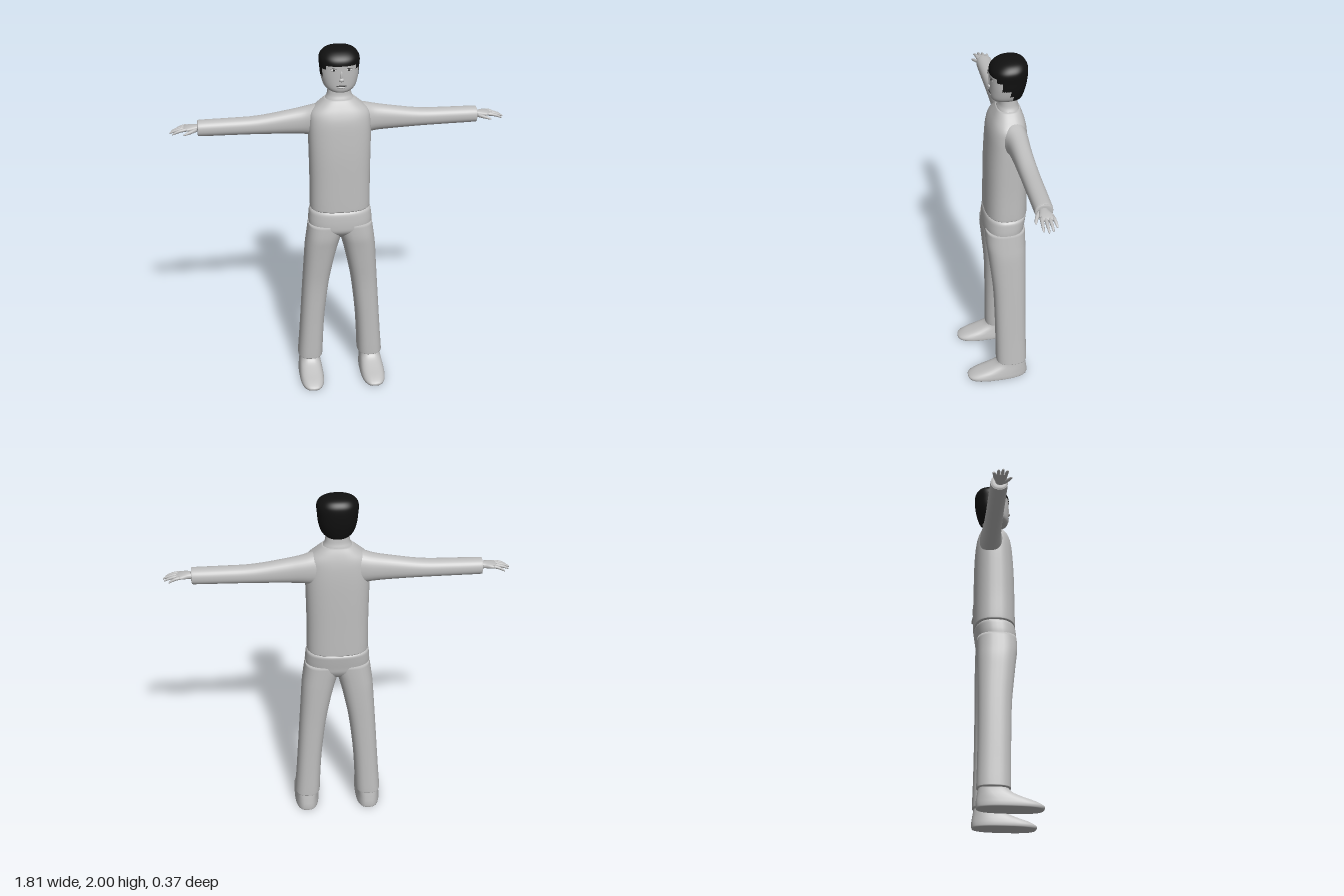
import * as THREE from 'three';

const grey = new THREE.MeshStandardMaterial({ color: 0xbfbfbf });
grey.name = 'plainGrey';
const black = new THREE.MeshStandardMaterial({ color: 0x111111 });
black.name = 'hairBlack';
const white = new THREE.MeshStandardMaterial({ color: 0xd8d8d8 });
white.name = 'eyeWhite';
const dark = new THREE.MeshStandardMaterial({ color: 0x3a3a3a });
dark.name = 'lipDark';

// Smooth interpolation between sections
function spline(a, b, c, d, f) {
  return 0.5 * (2 * b + (c - a) * f + (2 * a - 5 * b + 4 * c - d) * f * f + (3 * b - a - 3 * c + d) * f * f * f);
}

// Closed skin over sections [t, uMin, uMax, vMin, vMax].
// axis 'y': t = y, u = x, v = z.  axis 'x': t = x, u = z, v = y.
function loft(sections, { axis = 'y', seg = 32, sub = 4, power = 2.3 } = {}) {
  const rows = [];
  const last = sections.length - 1;
  for (let i = 0; i < last; i++) {
    const [a, b, c, d] = [Math.max(i - 1, 0), i, i + 1, Math.min(i + 2, last)].map(k => sections[k]);
    for (let k = 0; k < sub; k++) rows.push(b.map((_, n) => spline(a[n], b[n], c[n], d[n], k / sub)));
  }
  rows.push(sections[last]);
  const pos = [], index = [];
  const put = (t, u, v) => (axis === 'y' ? pos.push(u, t, v) : pos.push(t, v, u));
  const round = s => Math.sign(s) * Math.abs(s) ** (2 / power);
  for (const [t, u0, u1, v0, v1] of rows) {
    for (let j = 0; j < seg; j++) {
      const a = (j / seg) * Math.PI * 2;
      put(t, (u0 + u1) / 2 + (u1 - u0) / 2 * round(Math.cos(a)), (v0 + v1) / 2 + (v1 - v0) / 2 * round(Math.sin(a)));
    }
  }
  const n = rows.length;
  for (const [t, u0, u1, v0, v1] of [rows[0], rows[n - 1]]) put(t, (u0 + u1) / 2, (v0 + v1) / 2);
  for (let j = 0; j < seg; j++) {
    const k = (j + 1) % seg;
    for (let i = 0; i < n - 1; i++) {
      const A = i * seg + j, B = i * seg + k;
      index.push(A, A + seg, B, B, A + seg, B + seg);
    }
    index.push(n * seg, j, k, n * seg + 1, (n - 1) * seg + k, (n - 1) * seg + j);
  }
  const geo = new THREE.BufferGeometry();
  geo.setAttribute('position', new THREE.Float32BufferAttribute(pos, 3));
  geo.setIndex(index);
  geo.computeVertexNormals();
  return geo;
}

// Mirrored copy across x = 0 with the winding put right
function mirror(geo) {
  const g = geo.clone().scale(-1, 1, 1);
  const ix = g.index.array;
  for (let i = 0; i < ix.length; i += 3) [ix[i], ix[i + 1]] = [ix[i + 1], ix[i]];
  g.computeVertexNormals();
  return g;
}

// Split the head's faces into skin (group 0) and hair (group 1)
function splitHair(geo) {
  const p = geo.attributes.position, ix = geo.index.array, parts = [[], []];
  for (let i = 0; i < ix.length; i += 3) {
    const tri = [ix[i], ix[i + 1], ix[i + 2]];
    const y = tri.reduce((s, v) => s + p.getY(v), 0) / 3;
    const z = tri.reduce((s, v) => s + p.getZ(v), 0) / 3;
    const line = z > -0.01 ? 1.922 : z > -0.035 ? 1.9 : z > -0.075 ? 1.855 : z > -0.092 ? 1.82 : 1.772;
    parts[y > line ? 1 : 0].push(...tri);
  }
  geo.setIndex([...parts[0], ...parts[1]]);
  geo.addGroup(0, parts[0].length, 0);
  geo.addGroup(parts[0].length, parts[1].length, 1);
  return geo;
}

export function createModel() {
  const model = new THREE.Group();
  const add = (name, geo, mat) => {
    const mesh = new THREE.Mesh(geo, mat);
    mesh.name = name;
    model.add(mesh);
    return mesh;
  };
  const pair = (name, geo, mat = grey) => {
    add('left' + name, geo, mat);
    add('right' + name, mirror(geo), mat);
  };
  const blob = (x, y, z, sx, sy, sz) => new THREE.SphereGeometry(1, 16, 10).scale(sx, sy, sz).translate(x, y, z);

  // Shirt body with a rounded hem, and the neck
  add('shirt', loft([
    [1.082, -0.15, 0.15, -0.165, 0.035], [1.088, -0.164, 0.164, -0.178, 0.048], [1.11, -0.167, 0.167, -0.18, 0.05],
    [1.25, -0.166, 0.166, -0.18, 0.048], [1.4, -0.168, 0.168, -0.18, 0.045], [1.52, -0.17, 0.17, -0.178, 0.038],
    [1.6, -0.168, 0.168, -0.173, 0.03], [1.65, -0.158, 0.158, -0.165, 0.016], [1.69, -0.115, 0.115, -0.153, -0.003],
    [1.72, -0.078, 0.078, -0.14, -0.02],
  ], { seg: 40, power: 2.6 }), grey);
  add('neck', loft([
    [1.68, -0.1, 0.1, -0.145, -0.012], [1.72, -0.076, 0.076, -0.138, -0.022], [1.75, -0.064, 0.064, -0.13, -0.032],
    [1.82, -0.06, 0.06, -0.125, -0.035],
  ]), grey);

  // Sleeves
  pair('Sleeve', loft([
    [0.08, -0.155, -0.015, 1.49, 1.69], [0.14, -0.157, -0.025, 1.503, 1.676], [0.19, -0.155, -0.04, 1.513, 1.663],
    [0.27, -0.15, -0.047, 1.518, 1.648], [0.44, -0.147, -0.052, 1.525, 1.622], [0.6, -0.146, -0.053, 1.528, 1.617],
    [0.74, -0.145, -0.054, 1.53, 1.615], [0.757, -0.141, -0.058, 1.534, 1.611], [0.76, -0.125, -0.07, 1.55, 1.597],
  ], { axis: 'x' }));

  // Hands: palm, four drooping fingers and a thumb
  pair('Palm', loft([
    [0.74, -0.118, -0.074, 1.556, 1.592], [0.77, -0.122, -0.07, 1.558, 1.593], [0.8, -0.135, -0.063, 1.563, 1.591],
    [0.825, -0.136, -0.063, 1.564, 1.586], [0.838, -0.13, -0.069, 1.568, 1.58],
  ], { axis: 'x', seg: 24 }));
  [[-0.128, -0.138, 0.875], [-0.109, -0.113, 0.9], [-0.09, -0.09, 0.907], [-0.071, -0.066, 0.895]].forEach(([z0, z1, end], i) => {
    const rings = [[0, 0.009], [0.35, 0.009], [0.7, 0.0075], [0.95, 0.005], [1, 0.002]].map(([f, r]) => {
      const z = z0 + (z1 - z0) * f, y = 1.577 - 0.022 * f * f;
      return [0.815 + (end - 0.815) * f, z - r, z + r, y - r, y + r];
    });
    pair('Finger' + (i + 1), loft(rings, { axis: 'x', seg: 10, sub: 2, power: 2 }));
  });
  pair('Thumb', loft([
    [0.76, -0.09, -0.065, 1.563, 1.585], [0.785, -0.073, -0.05, 1.56, 1.58], [0.81, -0.058, -0.041, 1.557, 1.573],
    [0.828, -0.049, -0.038, 1.555, 1.565], [0.833, -0.046, -0.042, 1.557, 1.561],
  ], { axis: 'x', seg: 12, sub: 3 }));

  // Trousers: hips and two legs that merge into them
  add('hips', loft([
    [0.905, -0.03, 0.03, -0.09, -0.02], [0.92, -0.09, 0.09, -0.13, 0.015], [0.96, -0.165, 0.165, -0.158, 0.052],
    [1.0, -0.177, 0.177, -0.166, 0.058], [1.05, -0.174, 0.174, -0.174, 0.055], [1.075, -0.169, 0.169, -0.176, 0.05],
    [1.086, -0.155, 0.155, -0.165, 0.04],
  ], { seg: 40, power: 2.5 }), grey);
  pair('TrouserLeg', loft([
    [0.105, 0.122, 0.235, -0.15, -0.005], [0.11, 0.107, 0.247, -0.163, 0.01], [0.13, 0.104, 0.247, -0.165, 0.013],
    [0.25, 0.099, 0.238, -0.162, 0.014], [0.4, 0.089, 0.228, -0.16, 0.016], [0.6, 0.066, 0.215, -0.16, 0.022],
    [0.75, 0.038, 0.205, -0.162, 0.036], [0.85, 0.015, 0.198, -0.163, 0.047], [0.92, -0.006, 0.189, -0.163, 0.055],
    [1.0, -0.04, 0.178, -0.163, 0.054],
  ], { power: 2.5 }));

  // Feet, low at the toes and rising to the ankle
  pair('Shoe', loft([
    [0, 0.118, 0.243, -0.158, 0.172], [0.004, 0.111, 0.25, -0.166, 0.181], [0.02, 0.11, 0.251, -0.168, 0.182],
    [0.04, 0.113, 0.248, -0.167, 0.145], [0.06, 0.117, 0.244, -0.164, 0.085], [0.085, 0.121, 0.239, -0.16, 0.025],
    [0.11, 0.123, 0.236, -0.156, 0], [0.14, 0.124, 0.235, -0.155, -0.005],
  ], { power: 2.7 }));

  // Head with a stepped hairline
  add('headAndHair', splitHair(loft([
    [1.77, -0.04, 0.04, -0.125, -0.01], [1.777, -0.062, 0.062, -0.146, 0.007], [1.8, -0.085, 0.085, -0.157, 0.014],
    [1.85, -0.1, 0.1, -0.171, 0.016], [1.9, -0.105, 0.105, -0.179, 0.017], [1.94, -0.108, 0.108, -0.181, 0.016],
    [1.965, -0.099, 0.099, -0.176, 0.001], [1.985, -0.077, 0.077, -0.16, -0.027], [1.996, -0.045, 0.045, -0.135, -0.06],
    [2.0, -0.008, 0.008, -0.105, -0.09],
  ], { seg: 72, sub: 6 })), [grey, black]);

  // Face
  pair('EyeWhite', blob(0.04, 1.902, 0.012, 0.016, 0.006, 0.004), white);
  pair('Pupil', blob(0.04, 1.902, 0.0145, 0.006, 0.006, 0.004), black);
  pair('Lash', blob(0.04, 1.909, 0.0125, 0.018, 0.0022, 0.004), dark);
  add('nose', blob(0, 1.847, 0.015, 0.014, 0.011, 0.012), grey);
  add('noseBridge', blob(0, 1.868, 0.014, 0.008, 0.03, 0.007), grey);
  add('upperLip', blob(0, 1.813, 0.0135, 0.028, 0.0045, 0.005), dark);
  add('lowerLip', blob(0, 1.804, 0.013, 0.021, 0.006, 0.005), grey);

  return model;
}
